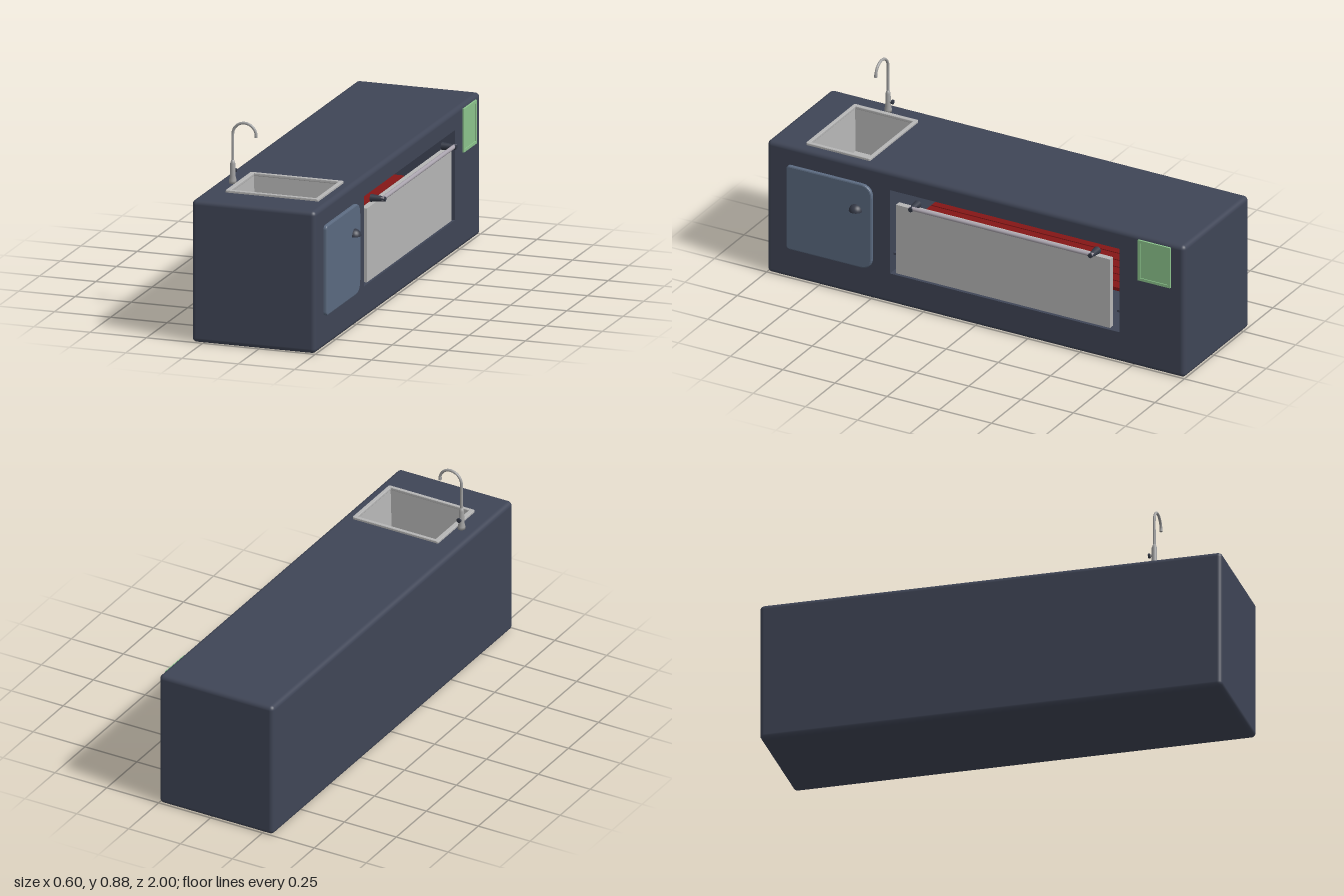
import * as THREE from 'three';
import { RoundedBoxGeometry } from 'three/addons/geometries/RoundedBoxGeometry.js';

const paint = (name, color, extra = {}) => {
  const m = new THREE.MeshStandardMaterial({ color, ...extra });
  m.name = name;
  return m;
};

// Rectangle path with separate corner radii for its low-u and high-u sides
function rect(u0, v0, u1, v1, ra = 0, rb = ra, Type = THREE.Shape) {
  const s = new Type();
  s.moveTo(u0 + ra, v0);
  s.lineTo(u1 - rb, v0);
  if (rb) s.quadraticCurveTo(u1, v0, u1, v0 + rb);
  s.lineTo(u1, v1 - rb);
  if (rb) s.quadraticCurveTo(u1, v1, u1 - rb, v1);
  s.lineTo(u0 + ra, v1);
  if (ra) s.quadraticCurveTo(u0, v1, u0, v1 - ra);
  s.lineTo(u0, v0 + ra);
  if (ra) s.quadraticCurveTo(u0, v0, u0 + ra, v0);
  return s;
}

// Removes the triangles of a non-indexed geometry that pass the test
function dropTriangles(geo, test) {
  const p = geo.attributes.position, pos = [], nor = [];
  const n = geo.attributes.normal, v = new THREE.Vector3();
  for (let i = 0; i < p.count; i += 3) {
    const pts = [0, 1, 2].map((k) => new THREE.Vector3().fromBufferAttribute(p, i + k));
    if (test(pts)) continue;
    for (let k = 0; k < 3; k++) {
      pos.push(...pts[k].toArray());
      nor.push(...v.fromBufferAttribute(n, i + k).toArray());
    }
  }
  const out = new THREE.BufferGeometry();
  out.setAttribute('position', new THREE.Float32BufferAttribute(pos, 3));
  out.setAttribute('normal', new THREE.Float32BufferAttribute(nor, 3));
  return out;
}

// Inward-facing box without one side (0 = +x, 2 = +y); warp moves its corners
function openBox(x0, x1, y0, y1, z0, z1, side, warp) {
  const geo = new THREE.BoxGeometry(x1 - x0, y1 - y0, z1 - z0);
  geo.translate((x0 + x1) / 2, (y0 + y1) / 2, (z0 + z1) / 2);
  const p = geo.attributes.position, v = new THREE.Vector3();
  for (let i = 0; i < p.count; i++) {
    warp(v.fromBufferAttribute(p, i));
    p.setXYZ(i, v.x, v.y, v.z);
  }
  const idx = Array.from(geo.index.array);
  idx.splice(side * 6, 6);
  geo.setIndex(idx.reverse());
  geo.clearGroups();
  geo.computeVertexNormals();
  return geo;
}

export function createModel() {
  const model = new THREE.Group();
  model.name = 'kitchenCounter';
  const slate = paint('slate', 0x3f4556);
  const doorBlue = paint('doorBlue', 0x5b6a80);
  const steel = paint('steel', 0xb6b6b6);
  const tapGrey = paint('tapGrey', 0xa2a2a2);
  const barGrey = paint('barGrey', 0xaaa4ae);
  const green = paint('green', 0x8cc48c);
  const red = paint('red', 0x851616);
  const dark = paint('dark', 0x343946);

  const add = (name, geo, mat, x = 0, y = 0, z = 0, parent = model) => {
    const m = new THREE.Mesh(geo, mat);
    m.name = name;
    m.position.set(x, y, z);
    parent.add(m);
    return m;
  };
  const box = (name, mat, x0, x1, y0, y1, z0, z1) =>
    add(name, new THREE.BoxGeometry(x1 - x0, y1 - y0, z1 - z0), mat,
      (x0 + x1) / 2, (y0 + y1) / 2, (z0 + z1) / 2);

  // Counter body: rounded shell whose top and +x faces get openings
  const H = 0.615, R = 0.02;
  const shell = new RoundedBoxGeometry(0.55, H, 2, 4, R).translate(-0.025, H / 2, 0);
  add('body', dropTriangles(shell, (t) =>
    t.every((q) => q.x > 0.2499) || t.every((q) => q.y > H - 0.0001)), slate);

  const sideFace = rect(-1 + R, R, 1 - R, H - R);
  sideFace.holes.push(rect(-0.41, 0.14, 0.69, 0.53, 0, 0, THREE.Path));
  add('bodySideFace', new THREE.ShapeGeometry(sideFace).rotateY(Math.PI / 2), slate, 0.25);

  const topFace = rect(-0.3 + R, -1 + R, 0.25 - R, 1 - R);
  topFace.holes.push(rect(-0.19, -0.825, 0.19, -0.545, 0, 0, THREE.Path));
  add('bodyTopFace', new THREE.ShapeGeometry(topFace).rotateX(-Math.PI / 2), slate, 0, H);

  // Oven cavity with a ceiling that slopes down to the back
  add('ovenCavity', openBox(-0.2, 0.25, 0.14, 0.53, -0.69, 0.41, 0, (v) => {
    if (v.x < 0 && v.y > 0.5) v.y = 0.475;
  }), slate);

  // Red rack inside the oven, with runners below it
  for (let i = 0; i < 7; i++) {
    const x = -0.19 + i * 0.056;
    box('rackSlat', red, x, x + 0.05, 0.3, 0.315, -0.68, 0.4);
  }
  for (const [z0, z1] of [[-0.69, -0.66], [0.385, 0.41]]) {
    box('rackSupport', red, -0.19, 0.2, 0.288, 0.3, z0, z1);
    box('rackRunner', slate, -0.19, 0.22, 0.215, 0.225, z0, z1);
  }

  // Oven door panel and its handle
  box('ovenDoor', steel, 0.225, 0.252, 0.15, 0.47, -0.645, 0.38);
  add('handleBar', new THREE.CylinderGeometry(0.009, 0.009, 0.88, 16).rotateX(Math.PI / 2),
    barGrey, 0.288, 0.492, -0.145);
  for (const z of [0.285, -0.575]) {
    add('handleMount', new THREE.CylinderGeometry(0.01, 0.017, 0.065, 16).rotateZ(-Math.PI / 2),
      dark, 0.2675, 0.49, z);
  }

  // Cabinet door with larger corners on the knob side, and a half-dome knob
  const b = 0.006;
  const door = rect(-0.9 + b, 0.14 + b, -0.49 - b, 0.53 - b, 0.012, 0.05);
  add('cabinetDoor', new THREE.ExtrudeGeometry(door, {
    depth: 0.009, bevelThickness: b, bevelSize: b, bevelSegments: 2, curveSegments: 8,
  }).rotateY(Math.PI / 2), doorBlue, 0.25);
  add('knobDome', new THREE.SphereGeometry(0.03, 24, 10, 0, Math.PI * 2, 0, Math.PI / 2),
    dark, 0.264, 0.402, 0.565);
  add('knobBase', new THREE.CircleGeometry(0.03, 24).rotateX(Math.PI / 2), dark, 0.264, 0.402, 0.565);

  // Green control panel: raised frame around a shallow plate
  const frame = rect(0.78, 0.41, 0.935, 0.598);
  frame.holes.push(rect(0.792, 0.422, 0.923, 0.586, 0, 0, THREE.Path));
  add('controlFrame', new THREE.ExtrudeGeometry(frame, { depth: 0.009, bevelEnabled: false })
    .rotateY(Math.PI / 2), green, 0.249);
  box('controlPlate', green, 0.249, 0.254, 0.422, 0.586, -0.923, -0.792);

  // Sink rim and basin
  const rim = rect(-0.207, -0.837, 0.203, -0.533, 0.006);
  rim.holes.push(rect(-0.19, -0.825, 0.19, -0.545, 0, 0, THREE.Path));
  add('sinkRim', new THREE.ExtrudeGeometry(rim, {
    depth: 0.007, bevelThickness: 0.003, bevelSize: 0.002, bevelSegments: 2,
  }).rotateX(-Math.PI / 2), steel, 0, H);
  add('sinkBasin', openBox(-0.19, 0.19, 0.42, 0.618, 0.545, 0.825, 2, (v) => {
    if (v.y < 0.5) { v.x *= 0.95; v.z = 0.685 + (v.z - 0.685) * 0.95; }
  }), steel);

  // Tap: turned base, curved spout and side lever
  const tap = new THREE.Group();
  tap.name = 'tap';
  tap.position.set(-0.23, H, 0.69);
  model.add(tap);
  const profile = [[0, 0], [0.016, 0], [0.016, 0.012], [0.012, 0.03], [0.011, 0.085], [0.006, 0.1], [0, 0.1]]
    .map(([r, y]) => new THREE.Vector2(r, y));
  add('tapBase', new THREE.LatheGeometry(profile, 20), tapGrey, 0, 0, 0, tap);
  const path = [new THREE.Vector3(0, 0.09, 0), new THREE.Vector3(0, 0.15, 0)];
  for (let i = 0; i <= 10; i++) {
    const a = Math.PI * (1 - i / 10 * 0.95);
    path.push(new THREE.Vector3(0.052 + 0.052 * Math.cos(a), 0.212 + 0.052 * Math.sin(a), 0));
  }
  const last = path[path.length - 1];
  path.push(new THREE.Vector3(last.x + 0.001, last.y - 0.01, 0));
  add('tapSpout', new THREE.TubeGeometry(new THREE.CatmullRomCurve3(path), 48, 0.006, 12), tapGrey, 0, 0, 0, tap);
  add('tapNozzle', new THREE.CylinderGeometry(0.007, 0.007, 0.012, 12), tapGrey, last.x, last.y - 0.008, 0, tap);
  add('tapLever', new THREE.CylinderGeometry(0.006, 0.006, 0.024, 12).rotateX(Math.PI / 2),
    tapGrey, 0, 0.05, -0.012, tap);
  add('tapLeverKnob', new THREE.CylinderGeometry(0.01, 0.01, 0.008, 16).rotateX(Math.PI / 2),
    dark, 0, 0.05, -0.022, tap);

  return model;
}
